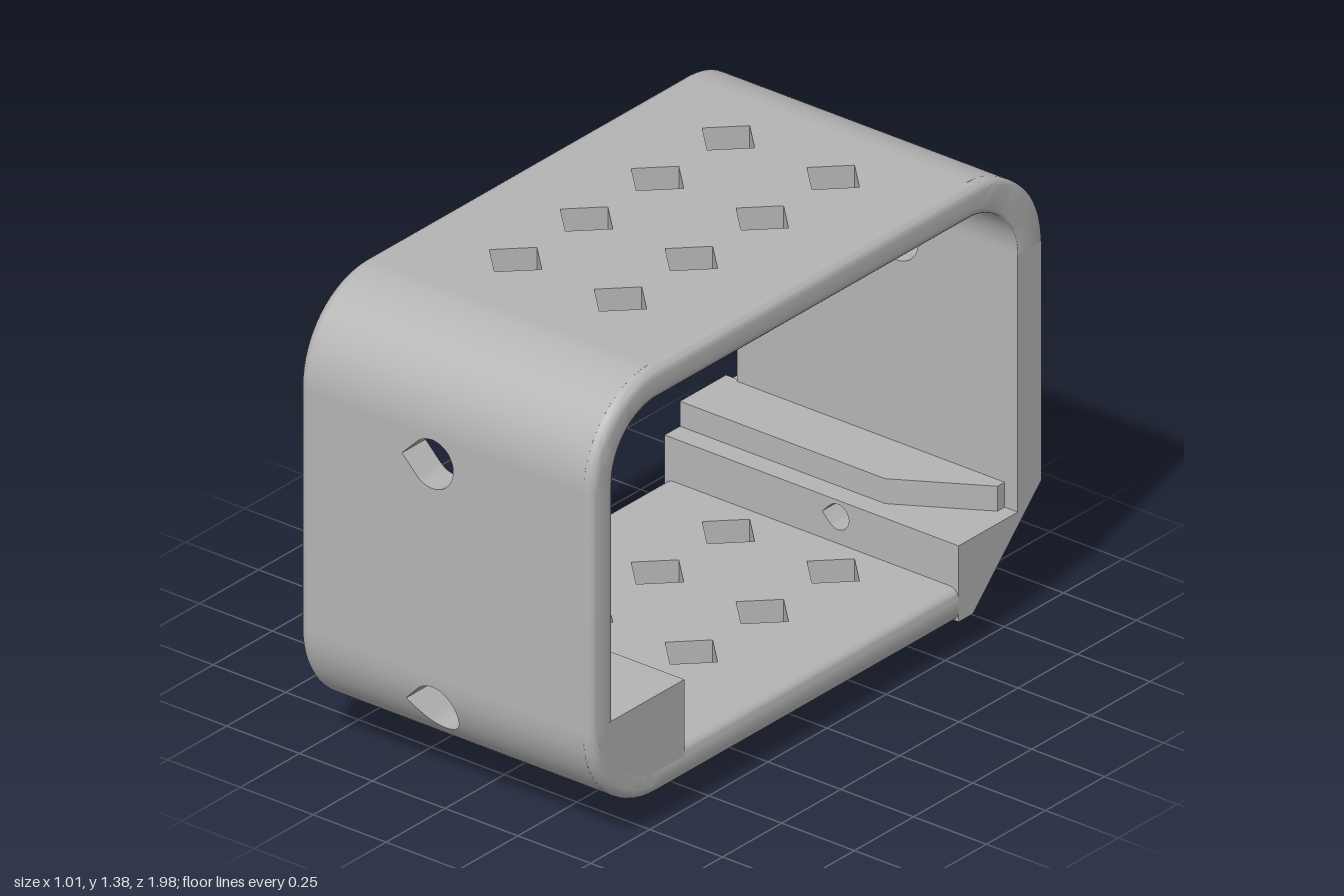
import * as THREE from 'three';
import { toCreasedNormals } from 'three/addons/utils/BufferGeometryUtils.js';

const W = 0.505, IN = 0.475;          // half width, half width inside the rounded rims
const R = 0.28, T = 0.1;              // outer corner radius, wall thickness
const ROOT2 = Math.SQRT2;

export function createModel() {
  const group = new THREE.Group();
  const grey = new THREE.MeshStandardMaterial({ color: 0xb4b4b4, side: THREE.DoubleSide });
  grey.name = 'plain grey';

  const add = (name, geo) => {
    const mesh = new THREE.Mesh(toCreasedNormals(geo, 0.6), grey);
    mesh.name = name;
    group.add(mesh);
  };
  const poly = (pts) => new THREE.Shape(pts.map(([a, b]) => new THREE.Vector2(a, b)));
  const rect = (x0, y0, x1, y1) => poly([[x0, y0], [x1, y0], [x1, y1], [x0, y1]]);
  const extrude = (shape, depth) =>
    new THREE.ExtrudeGeometry(shape, { depth, bevelEnabled: false, curveSegments: 20 });
  // Extrusions along each axis between two positions
  const alongX = (s, x0, x1) => extrude(s, x1 - x0).rotateY(-Math.PI / 2).translate(x1, 0, 0);
  const alongY = (s, y0, y1) => extrude(s, y1 - y0).rotateX(Math.PI / 2).translate(0, y1, 0);
  const alongZ = (s, z0, z1) => extrude(s, z1 - z0).translate(0, 0, z0);

  // Surface made of quads
  const quads = (list) => {
    const p = [];
    for (const [a, b, c, d] of list) p.push(...a, ...b, ...c, ...a, ...c, ...d);
    const g = new THREE.BufferGeometry();
    g.setAttribute('position', new THREE.Float32BufferAttribute(p, 3));
    return g;
  };

  // Teardrop hole with its tip towards -x
  const teardrop = (cx, cy, r) => {
    const p = new THREE.Path();
    p.moveTo(cx - r * ROOT2, cy);
    p.lineTo(cx - r / ROOT2, cy - r / ROOT2);
    p.absarc(cx, cy, r, -0.75 * Math.PI, 0.75 * Math.PI, false);
    p.closePath();
    return p;
  };
  const holed = (shape, ...holes) => { shape.holes.push(...holes); return shape; };

  // Top and bottom plates with diamond vents
  const plate = () => {
    const s = rect(-IN, -0.62, IN, 0.72);
    for (const x of [-0.18, 0.18])
      for (const z of [-0.42, -0.12, 0.18, 0.48])
        s.holes.push(poly([[x - 0.09, z], [x, z - 0.09], [x + 0.09, z], [x, z + 0.09]]));
    return s;
  };
  add('topPlate', alongY(plate(), 1.285, 1.385));
  add('bottomPlate', alongY(plate(), 0.1, 0.2));

  // Front and back walls
  add('frontWall', alongZ(holed(rect(-IN, 0.38, IN, 1.105), teardrop(-0.045, 1.025, 0.073)), 0.9, 1));
  add('backWall', alongZ(holed(rect(-0.46, 0.385, W, 1.105), teardrop(0.09, 1.025, 0.073)), -0.9, -0.8));

  // Rounded upper corners
  for (const [name, cz, a0] of [['frontTopCorner', 0.72, 0], ['backTopCorner', -0.62, Math.PI / 2]]) {
    const s = new THREE.Shape();
    s.absarc(cz, 1.105, R, a0, a0 + Math.PI / 2, false);
    s.absarc(cz, 1.105, R - T, a0 + Math.PI / 2, a0, true);
    add(name, alongX(s, -IN, IN));
  }

  // Rounded rims swept around both open ends
  const path = [[-0.61, 0.1, 0, 1, 0.03]];
  [[0.72, 0.38, -90], [0.72, 1.105, 0], [-0.62, 1.105, 90]].forEach(([cz, cy, start], k) => {
    for (let i = 0; i <= 16; i++) {
      const a = THREE.MathUtils.degToRad(start + i * 90 / 16);
      const bevel = k === 2 ? 0.03 - 0.028 * Math.min(1, i / 10) : 0.03;
      path.push([cz + R * Math.cos(a), cy + R * Math.sin(a), -Math.cos(a), -Math.sin(a), bevel]);
    }
  });
  const section = (b) => {
    const half = [[IN, 0]];
    for (let i = 0; i <= 5; i++) {
      const t = i * Math.PI / 10;
      half.push([W - b + b * Math.sin(t), b * (1 - Math.cos(t))]);
    }
    return [...half, ...half.map(([x, o]) => [x, T - o]).reverse()];
  };
  for (const side of [1, -1]) {
    const rings = path.map(([z, y, nz, ny, b]) =>
      section(b).map(([x, o]) => [side * x, y + ny * o, z + nz * o]));
    const list = [];
    for (let i = 0; i < rings.length - 1; i++)
      for (let j = 0; j < rings[i].length - 1; j++) {
        const q = [rings[i][j], rings[i][j + 1], rings[i + 1][j + 1], rings[i + 1][j]];
        list.push(side > 0 ? q.reverse() : q);
      }
    add(side > 0 ? 'leftRim' : 'rightRim', quads(list));
  }

  // Sloped or curved outer skin with a teardrop pocket cut into it along z
  const skin = (rows, zOf, halfW, cx, cy, r, floorZ) => {
    const ys = [...rows];
    for (let i = 0; i <= 16; i++) ys.push(cy - r * Math.cos(i * Math.PI / 16));
    ys.sort((a, b) => a - b);
    const gap = (y) => {
      const d = Math.abs(y - cy);
      if (d >= r) return [cx, cx];
      const c = Math.sqrt(r * r - d * d);
      return [cx - (d < r / ROOT2 ? r * ROOT2 - d : c), cx + c];
    };
    const list = [];
    for (let i = 0; i < ys.length - 1; i++) {
      const [y0, y1] = [ys[i], ys[i + 1]];
      if (y1 - y0 < 1e-5) continue;
      const [z0, z1] = [zOf(y0), zOf(y1)];
      const [[l0, r0], [l1, r1]] = [gap(y0), gap(y1)];
      const face = [
        [[-halfW, y0, z0], [l0, y0, z0], [l1, y1, z1], [-halfW, y1, z1]],
        [[r0, y0, z0], [halfW, y0, z0], [halfW, y1, z1], [r1, y1, z1]],
      ];
      if (r0 > l0 || r1 > l1) face.push(
        [[l0, y0, z0], [l0, y0, floorZ], [l1, y1, floorZ], [l1, y1, z1]],
        [[r0, y0, floorZ], [r0, y0, z0], [r1, y1, z1], [r1, y1, floorZ]]);
      for (const q of face) list.push(floorZ < 0 ? q.reverse() : q);
    }
    return quads(list);
  };

  // Lower front corner: curved skin, inner block and pocket floor
  const arcRows = Array.from({ length: 21 }, (_, i) => 0.38 - R * Math.cos(i * Math.PI / 40));
  const curveZ = (y) => 0.72 + Math.sqrt(Math.max(0, R * R - (0.38 - y) ** 2));
  add('frontBottomCorner', skin(arcRows, curveZ, IN, -0.045, 0.28, 0.073, 0.75));
  add('frontBlock', alongZ(holed(rect(-0.41, 0.15, 0.41, 0.4), teardrop(-0.045, 0.28, 0.038)), 0.61, 0.75));
  add('frontBlockTop', alongY(rect(-0.41, 0.74, 0.41, 0.96), 0.375, 0.4));
  const end = poly([[0.61, 0.15], [0.72, 0.13]]);
  end.absarc(0.72, 0.38, 0.25, -Math.PI / 2, 0, false);
  end.lineTo(0.97, 0.4);
  end.lineTo(0.61, 0.4);
  for (const x of [-W, 0.4]) add('frontBlockEnd', alongX(end, x, x + W - 0.4));

  // Lower back corner: chamfer, stepped ledge and pocket floor
  const chamferZ = (y) => -0.61 - (y - 0.1) * 0.29 / 0.285;
  add('backChamfer', skin([0.1, 0.385], chamferZ, W, 0.09, 0.28, 0.073, -0.66));
  add('backLedge', alongZ(holed(rect(-0.41, 0.17, 0.41, 0.33), teardrop(0.09, 0.28, 0.038)), -0.66, -0.55));
  add('backLedgeShelf', alongY(rect(0.2, -0.82, 0.45, -0.64), 0.31, 0.33));
  add('backStep', alongY(poly([[-W, -0.615], [0.2, -0.615], [0.46, -0.77], [0.46, -0.81], [-W, -0.81]]), 0.33, 0.405));
  const backEnd = poly([[-0.61, 0.101], [-0.55, 0.101], [-0.55, 0.33], [-0.8, 0.33],
    [-0.8, 0.385], [-0.899, 0.385]]);
  for (const x of [-W, 0.4]) add('backLedgeEnd', alongX(backEnd, x, x + W - 0.4));

  // Pair of tilted T-shaped clips standing on the chamfer
  const tilt = 0.47, c = Math.cos(tilt), s = Math.sin(tilt);
  const u = new THREE.Vector3(1, 0, 0);
  const v = new THREE.Vector3(0, 1, -1).normalize();
  const n = new THREE.Vector3(0, -1, -1).normalize();
  const centre = new THREE.Vector3(0, 0.2425, -0.755);
  const w = u.clone().multiplyScalar(c).addScaledVector(v, s);
  const d = u.clone().multiplyScalar(-s).addScaledVector(v, c);
  const clip = poly([[0.03, -0.01], [0.14, -0.01], [0.14, 0.035], [0.17, 0.065], [0.17, 0.115],
    [0.15, 0.135], [0.02, 0.135], [0, 0.115], [0, 0.065], [0.03, 0.035]]);
  for (const [name, pu, pv] of [['upperClip', -0.01, -0.2], ['lowerClip', -0.27, -0.23]]) {
    const origin = centre.clone().addScaledVector(u, pu).addScaledVector(v, pv);
    const g = extrude(clip, 0.36).applyMatrix4(new THREE.Matrix4().makeBasis(w, n, d).setPosition(origin));
    // Trim the clip flush with the chamfer's long edges
    const pos = g.attributes.position, p = new THREE.Vector3();
    for (let i = 0; i < pos.count; i++) {
      p.fromBufferAttribute(pos, i);
      const h = p.clone().sub(centre).dot(v);
      p.addScaledVector(v, THREE.MathUtils.clamp(h, -0.203, 0.203) - h);
      pos.setXYZ(i, p.x, p.y, p.z);
    }
    add(name, g);
  }
  return group;
}
